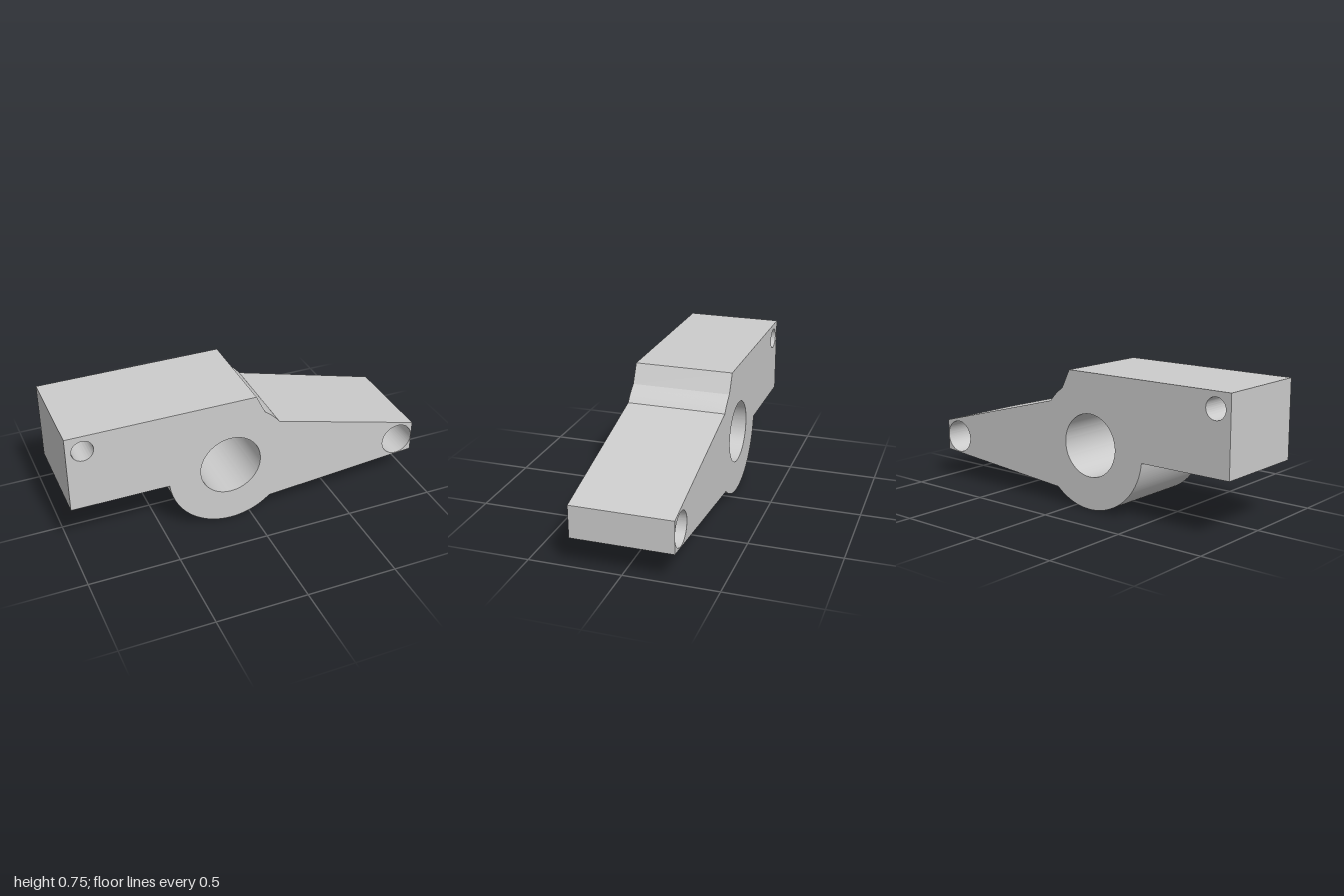
import * as THREE from 'three';
import { toCreasedNormals } from 'three/addons/utils/BufferGeometryUtils.js';

const HUB = { x: -0.117, y: 0.35, r: 0.35 };
const DEPTH = 0.546;

// Angle of a point as seen from the hub centre
const hubAngle = (x, y) => Math.atan2(y - HUB.y, x - HUB.x);

function roundHole(x, y, r) {
  return new THREE.Path().absarc(x, y, r, 0, Math.PI * 2, true);
}

export function createModel() {
  const group = new THREE.Group();
  group.name = 'leverArm';

  // Outline, counter-clockwise: block, hub underside, tapered arm, hub shoulder
  const outline = new THREE.Shape();
  outline.moveTo(-1, 0.745);
  outline.lineTo(-1, 0.313);
  outline.absarc(HUB.x, HUB.y, HUB.r, hubAngle(-0.465, 0.313), hubAngle(0.113, 0.085), false);
  outline.lineTo(1, 0.16);
  outline.lineTo(1, 0.338);
  outline.absarc(HUB.x, HUB.y, HUB.r, hubAngle(0.163, 0.561), hubAngle(0.078, 0.64), false);
  outline.lineTo(0.027, 0.745);
  outline.closePath();

  // Hub bore, block pin hole and arm tip hole
  outline.holes.push(
    roundHole(HUB.x, 0.352, 0.172),
    roundHole(-0.912, 0.658, 0.058),
    roundHole(0.906, 0.25, 0.092)
  );

  const solid = new THREE.ExtrudeGeometry(outline, {
    depth: DEPTH, bevelEnabled: false, curveSegments: 64
  });
  solid.translate(0, 0, -DEPTH / 2);

  const body = new THREE.Mesh(
    toCreasedNormals(solid, Math.PI / 9),
    new THREE.MeshStandardMaterial({ color: 0xcccccc })
  );
  body.name = 'leverBody';
  group.add(body);
  return group;
}
